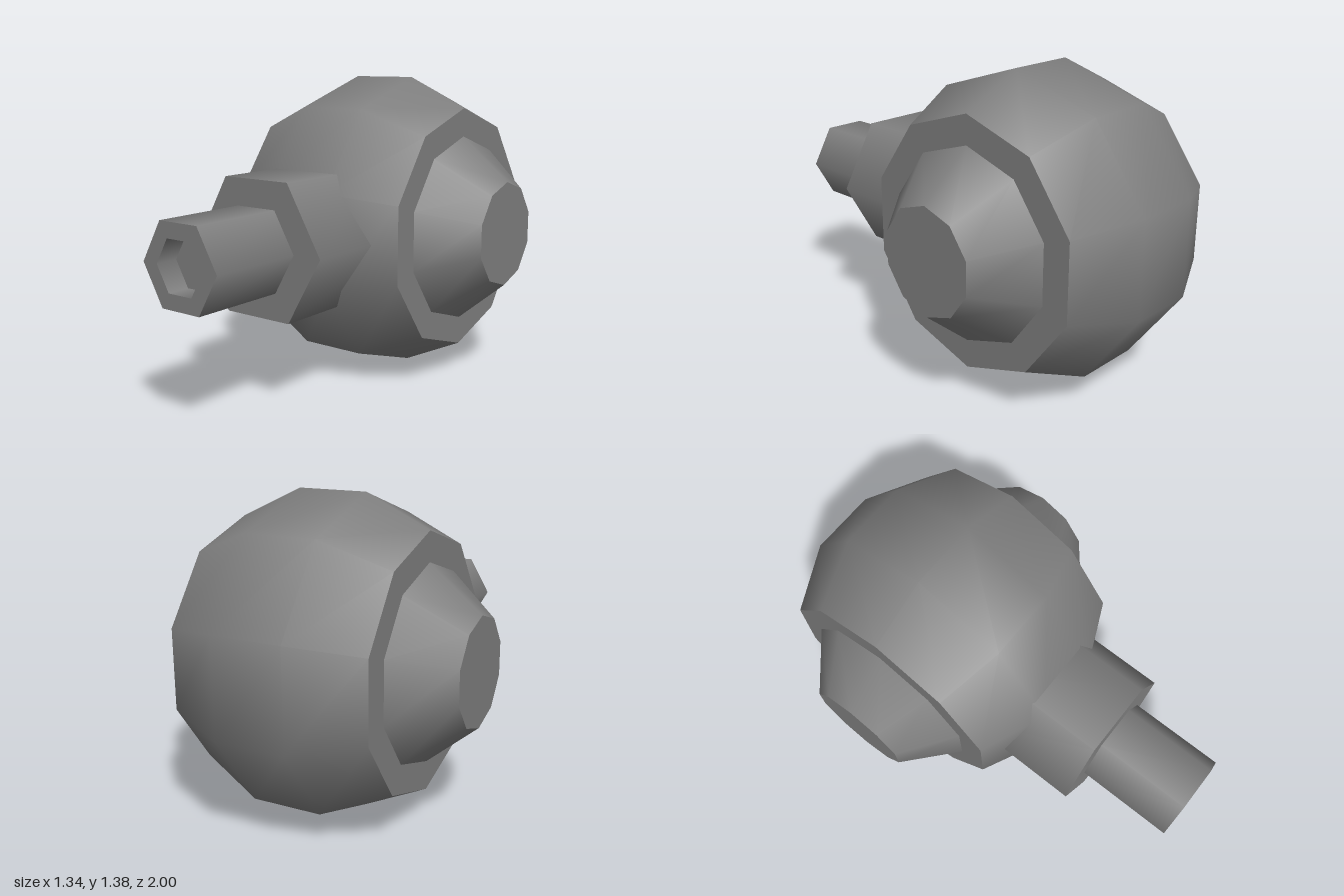
import * as THREE from 'three';
import { mergeGeometries } from 'three/addons/utils/BufferGeometryUtils.js';

const CENTRE_Y = 0.6875;
const CENTRE_Z = -0.346;

// Each strip of [radius, height] points is smooth; edges between strips stay sharp.
function turned(strips, sides) {
  return mergeGeometries(strips.map((strip) => new THREE.LatheGeometry(
    strip.map(([r, h]) => new THREE.Vector2(r, h)), sides, Math.PI / 2)));
}

export function createModel() {
  const model = new THREE.Group();
  const grey = new THREE.MeshStandardMaterial({ color: 0x7f7f7f });
  grey.name = 'grey metal';

  const add = (name, geometry, z) => {
    const mesh = new THREE.Mesh(geometry, grey);
    mesh.name = name;
    mesh.position.set(0, CENTRE_Y, z);
    model.add(mesh);
  };

  // Ten-sided body turned about the x axis
  const body = turned([[[0.5525, -0.44], [0.6875, -0.155], [0.6875, 0.155], [0.5525, 0.44]]], 10);
  add('body', body.rotateZ(-Math.PI / 2), CENTRE_Z);

  // Tapered hub on each side: flat rim, cone and end cap
  for (const [name, side] of [['leftHub', 1], ['rightHub', -1]]) {
    const hub = turned([
      [[0.5525, 0.44], [0.425, 0.44]],
      [[0.425, 0.44], [0.235, 0.668]],
      [[0.235, 0.668], [0, 0.668]],
    ], 10);
    hub.rotateZ(-Math.PI / 2);
    if (side < 0) hub.rotateZ(Math.PI);
    add(name, hub, CENTRE_Z);
  }

  // Hexagonal collar emerging from the body
  const collar = turned([
    [[0.336, 0], [0.336, 0.57]],
    [[0.336, 0.57], [0.2, 0.57]],
  ], 6);
  add('barrelCollar', collar.rotateX(Math.PI / 2), 0);

  // Hexagonal barrel with a recessed bore
  const barrel = turned([
    [[0.2, 0.57], [0.2, 1]],
    [[0.2, 1], [0.124, 1]],
    [[0.124, 1], [0.124, 0.9]],
    [[0.124, 0.9], [0, 0.9]],
  ], 6);
  add('barrel', barrel.rotateX(Math.PI / 2), 0);

  return model;
}
